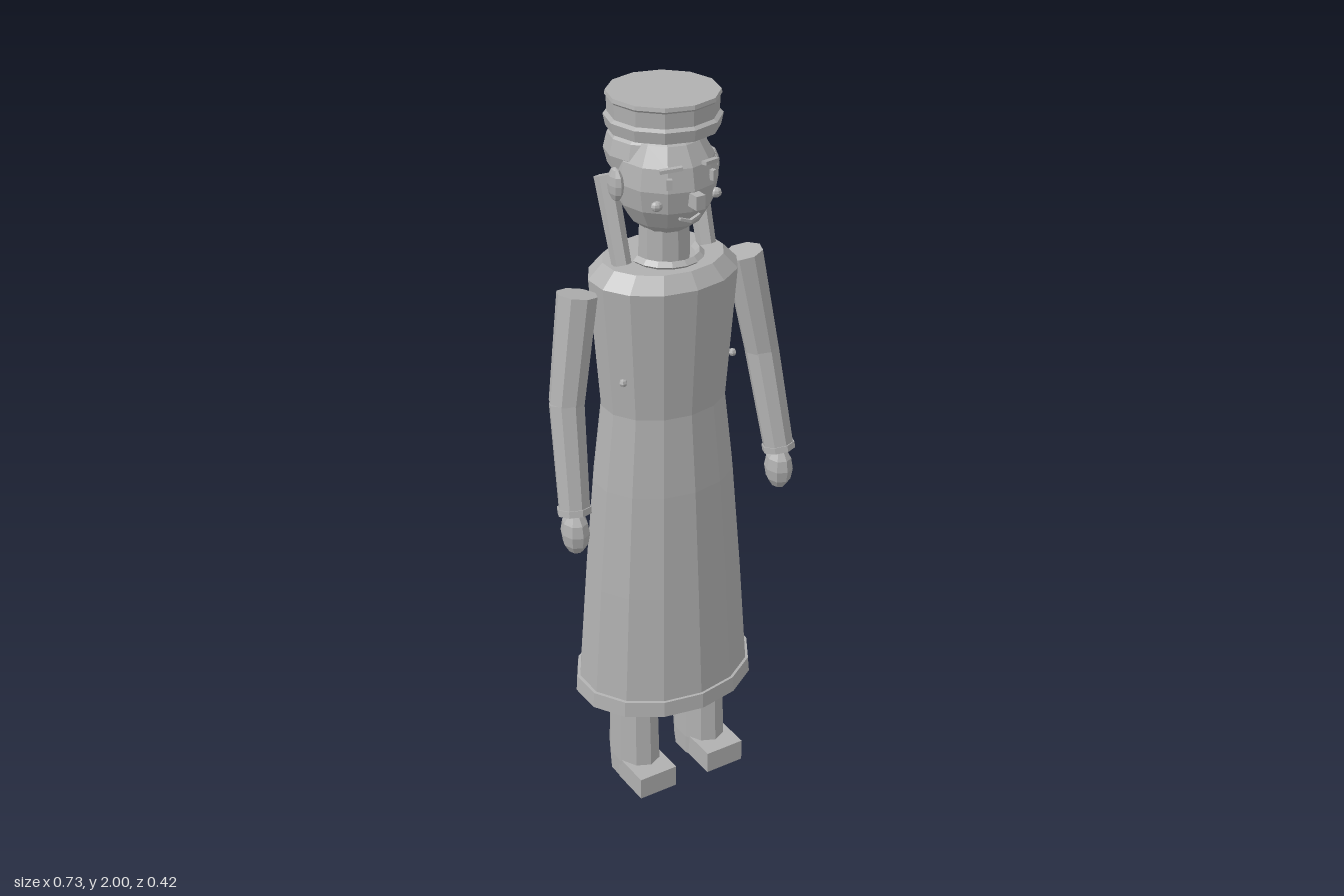
import * as THREE from 'three';

const grey = new THREE.MeshStandardMaterial({ color: 0xb0b0b0 });
grey.name = 'plain grey';

// Faceted mesh: every face gets its own normal
function part(name, geometry, parent) {
  const flat = geometry.index ? geometry.toNonIndexed() : geometry;
  flat.computeVertexNormals();
  const mesh = new THREE.Mesh(flat, grey);
  mesh.name = name;
  parent.add(mesh);
  return mesh;
}

const V = (x, y, z) => new THREE.Vector3(x, y, z);

// Ring-by-ring turned body with elliptical depth; points are [radius, y] from bottom to top
function turned(points, sides, depth = 1) {
  return new THREE.LatheGeometry(points.map(([r, y]) => new THREE.Vector2(r, y)), sides).scale(1, 1, depth);
}

function ellipsoid(center, rx, ry, rz, w = 8, h = 6) {
  return new THREE.SphereGeometry(1, w, h).scale(rx, ry, rz).translate(...center);
}

function box(w, h, d, center, tilt = 0, turn = 0) {
  return new THREE.BoxGeometry(w, h, d).rotateZ(tilt).rotateY(turn).translate(...center);
}

// Tapered limb between two points
function limb(a, b, ra, rb, sides = 8) {
  const dir = b.clone().sub(a);
  const geo = new THREE.CylinderGeometry(rb, ra, dir.length(), sides);
  geo.applyQuaternion(new THREE.Quaternion().setFromUnitVectors(V(0, 1, 0), dir.normalize()));
  const mid = a.clone().add(b).multiplyScalar(0.5);
  return geo.translate(mid.x, mid.y, mid.z);
}

function addArm(s, parent) {
  const arm = new THREE.Group();
  arm.name = s > 0 ? 'leftArm' : 'rightArm';
  const shoulder = V(s * 0.247, 1.515, -0.006);
  const elbow = V(s * 0.297, 1.235, 0.017);
  const wrist = V(s * 0.317, 0.96, 0.08);
  part('upperArm', limb(elbow, shoulder, 0.047, 0.053), arm);
  part('forearm', limb(wrist, elbow, 0.042, 0.047), arm);
  part('cuff', limb(V(s * 0.318, 0.95, 0.082), V(s * 0.317, 0.967, 0.078), 0.046, 0.046), arm);
  part('hand', ellipsoid([s * 0.318, 0.895, 0.083], 0.037, 0.063, 0.044), arm);
  parent.add(arm);
}

function addLeg(s, parent) {
  const leg = new THREE.Group();
  leg.name = s > 0 ? 'leftLeg' : 'rightLeg';
  const boot = turned([[0, 0], [0.062, 0], [0.065, 0.06], [0.061, 0.243], [0, 0.243]], 10, 1.42);
  part('boot', boot.translate(s * 0.108, 0, 0.018), leg);
  part('toe', box(0.116, 0.065, 0.12, [s * 0.111, 0.0325, 0.095]), leg);
  parent.add(leg);
}

export function createModel() {
  const model = new THREE.Group();
  model.name = 'figure';

  // Long coat with hem band
  const coat = [[0, 0.285], [0.253, 0.285], [0.226, 0.65], [0.2, 0.95], [0.174, 1.17],
    [0.186, 1.32], [0.203, 1.53], [0.164, 1.57], [0, 1.57]];
  part('coat', turned(coat, 14, 0.8), model);
  part('hem', turned([[0.24, 0.285], [0.262, 0.285], [0.258, 0.33], [0.24, 0.332]], 14, 0.8), model);

  // Collar arc at the front of the neck
  const collar = new THREE.TorusGeometry(0.085, 0.012, 4, 8, Math.PI).rotateX(Math.PI / 2);
  part('collar', collar.translate(0, 1.577, 0.015), model);

  // Head, neck and hair
  const head = new THREE.Group();
  head.name = 'head';
  model.add(head);
  part('neck', new THREE.CylinderGeometry(0.064, 0.068, 0.13, 10).translate(0, 1.62, 0.005), head);
  part('skull', ellipsoid([0, 1.785, 0.01], 0.13, 0.148, 0.135, 12, 8), head);
  part('hair', ellipsoid([0, 1.845, -0.035], 0.132, 0.105, 0.124, 12, 8), head);

  // Hat: lower band and crown
  part('hatBand', turned([[0, 1.91], [0.141, 1.91], [0.147, 1.94], [0.137, 1.947], [0, 1.947]], 12), head);
  part('hatCrown', turned([[0.137, 1.94], [0.139, 1.985], [0.143, 1.99], [0.141, 2], [0, 2]], 12), head);

  // Face
  part('nose', box(0.026, 0.036, 0.045, [0, 1.765, 0.15]), head);
  for (const s of [1, -1]) {
    part('eye', box(0.014, 0.026, 0.012, [s * 0.062, 1.81, 0.128], 0, s * 0.45), head);
    part('brow', box(0.056, 0.009, 0.014, [s * 0.056, 1.845, 0.126], -s * 0.12, s * 0.4), head);
    part('cheek', ellipsoid([s * 0.085, 1.752, 0.108], 0.016, 0.013, 0.013), head);
    part('mouthCorner', box(0.032, 0.007, 0.01, [s * 0.014, 1.707, 0.124], s * 0.35, s * 0.1), head);
    part('ear', ellipsoid([s * 0.138, 1.785, 0.003], 0.017, 0.044, 0.03), head);
    part('braid', limb(V(s * 0.125, 1.57, 0.006), V(s * 0.127, 1.785, -0.066), 0.025, 0.029, 6), head);
    // Small knobs on the coat sides
    part('knob', ellipsoid([s * 0.165, 1.28, 0.075], 0.011, 0.011, 0.011, 6, 4), model);
    addArm(s, model);
    addLeg(s, model);
  }
  return model;
}
